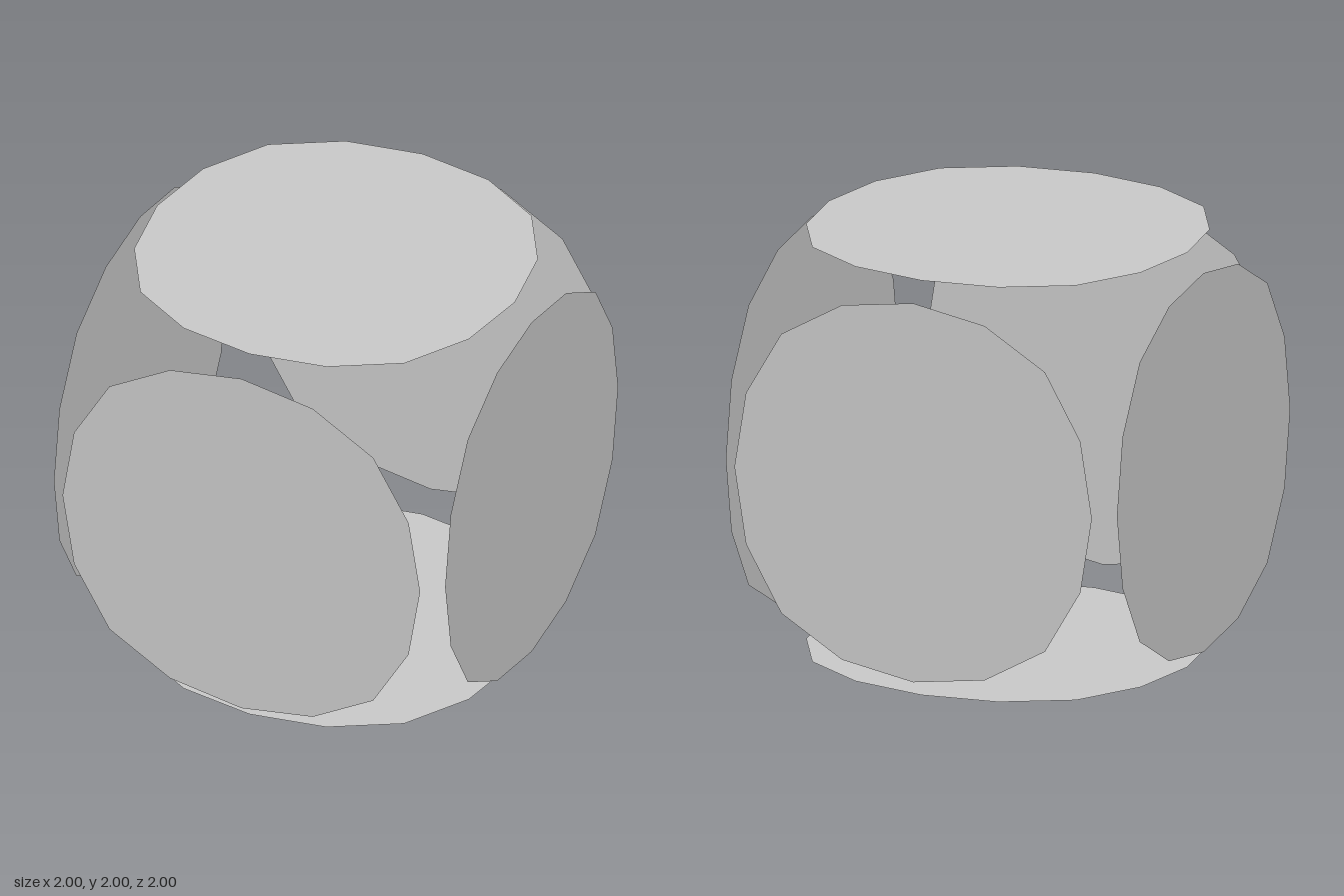
import * as THREE from 'three';

// Sixteen-sided outline, slightly squared towards its diagonals
function panelShape() {
  const quarter = [[0.914, 0], [0.855, 0.365], [0.674, 0.674], [0.365, 0.855]];
  const points = [];
  for (let q = 0; q < 4; q++) {
    for (const [x, y] of quarter) {
      points.push(new THREE.Vector2(x, y).rotateAround(new THREE.Vector2(), q * Math.PI / 2));
    }
  }
  return new THREE.Shape(points);
}

export function createModel() {
  const model = new THREE.Group();
  model.name = 'openPanelCube';
  const material = new THREE.MeshStandardMaterial({
    color: 0xcccccc, flatShading: true, side: THREE.DoubleSide,
  });

  // One flat panel, set one unit out from the centre
  const geometry = new THREE.ShapeGeometry(panelShape());
  geometry.translate(0, 0, 1);

  // Six panels facing outwards along the axes
  const h = Math.PI / 2;
  const panels = [
    ['frontPanel', 0, 0], ['leftPanel', 0, h], ['backPanel', 0, 2 * h],
    ['rightPanel', 0, -h], ['topPanel', -h, 0], ['bottomPanel', h, 0],
  ];
  for (const [name, rx, ry] of panels) {
    const panel = new THREE.Mesh(geometry, material);
    panel.name = name;
    panel.rotation.set(rx, ry, 0);
    panel.position.y = 1;
    model.add(panel);
  }
  return model;
}
